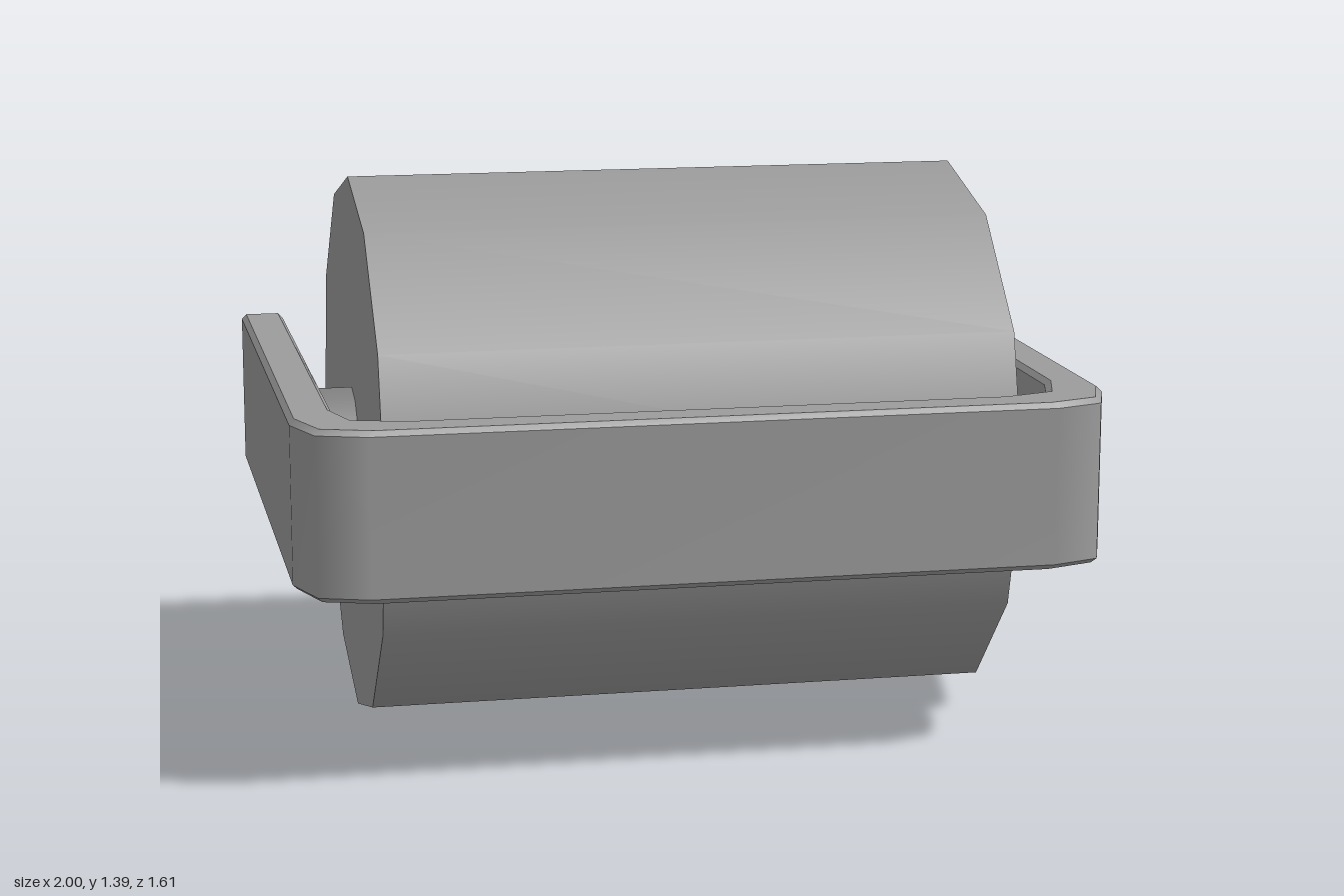
import * as THREE from 'three';
import { mergeGeometries } from 'three/addons/utils/BufferGeometryUtils.js';

// Half of the U-shaped plan, from the back of the left arm to the front: [x, z]
const OUTER = [[1, -0.805], [1, 0.632], [0.953, 0.762], [0.832, 0.803]];
const INNER = [[0.888, -0.805], [0.888, 0.52], [0.85, 0.65], [0.72, 0.69]];
const BOTTOM = 0.493, TOP = 0.907, CHAMFER = 0.013;
const CENTRE_Y = 0.693, CENTRE_Z = -0.042;

const mirrored = (half) => [...half, ...half.map(([x, z]) => [-x, z]).reverse()];

// Hollow chamfered bar swept along the U, open at both ends;
// each strip is smooth along the bend and sharp against its neighbours
function frameGeometry() {
  const outer = mirrored(OUTER), inner = mirrored(INNER);
  const t = 0.11;
  const section = [
    [0, BOTTOM + CHAMFER], [0, TOP - CHAMFER], [t, TOP], [1 - t, TOP],
    [1, TOP - CHAMFER], [1, BOTTOM + CHAMFER], [1 - t, BOTTOM], [t, BOTTOM],
  ];
  const rings = outer.map(([ox, oz], i) => section.map(([u, y]) =>
    [ox + (inner[i][0] - ox) * u, y, oz + (inner[i][1] - oz) * u]));

  return mergeGeometries(section.map((_, k) => {
    const points = [], index = [];
    rings.forEach((ring, i) => {
      points.push(...ring[k], ...ring[(k + 1) % section.length]);
      if (i > 0) {
        const a = 2 * i - 2;
        index.push(a, a + 1, a + 2, a + 1, a + 3, a + 2);
      }
    });
    const strip = new THREE.BufferGeometry();
    strip.setAttribute('position', new THREE.Float32BufferAttribute(points, 3));
    strip.setIndex(index);
    strip.computeVertexNormals();
    return strip;
  }));
}

export function createModel() {
  const model = new THREE.Group();
  const grey = new THREE.MeshStandardMaterial({ color: 0x9c9c9c });
  const darkGrey = new THREE.MeshStandardMaterial({ color: 0x808080 });
  const openGrey = new THREE.MeshStandardMaterial({ color: 0x9c9c9c, side: THREE.DoubleSide });

  const add = (name, geometry, material) => {
    const mesh = new THREE.Mesh(geometry, material);
    mesh.name = name;
    model.add(mesh);
    return mesh;
  };

  // Twelve-sided cylinder lying across x
  const roller = (name, radius, length, x, material) => {
    const g = new THREE.CylinderGeometry(radius, radius, length, 12);
    g.rotateZ(Math.PI / 2);
    add(name, g, material).position.set(x, CENTRE_Y, CENTRE_Z);
  };

  roller('drum', 0.693, 1.574, 0.007, grey);
  roller('axle', 0.151, 1.79, 0, darkGrey);
  add('frame', frameGeometry(), openGrey);
  return model;
}
